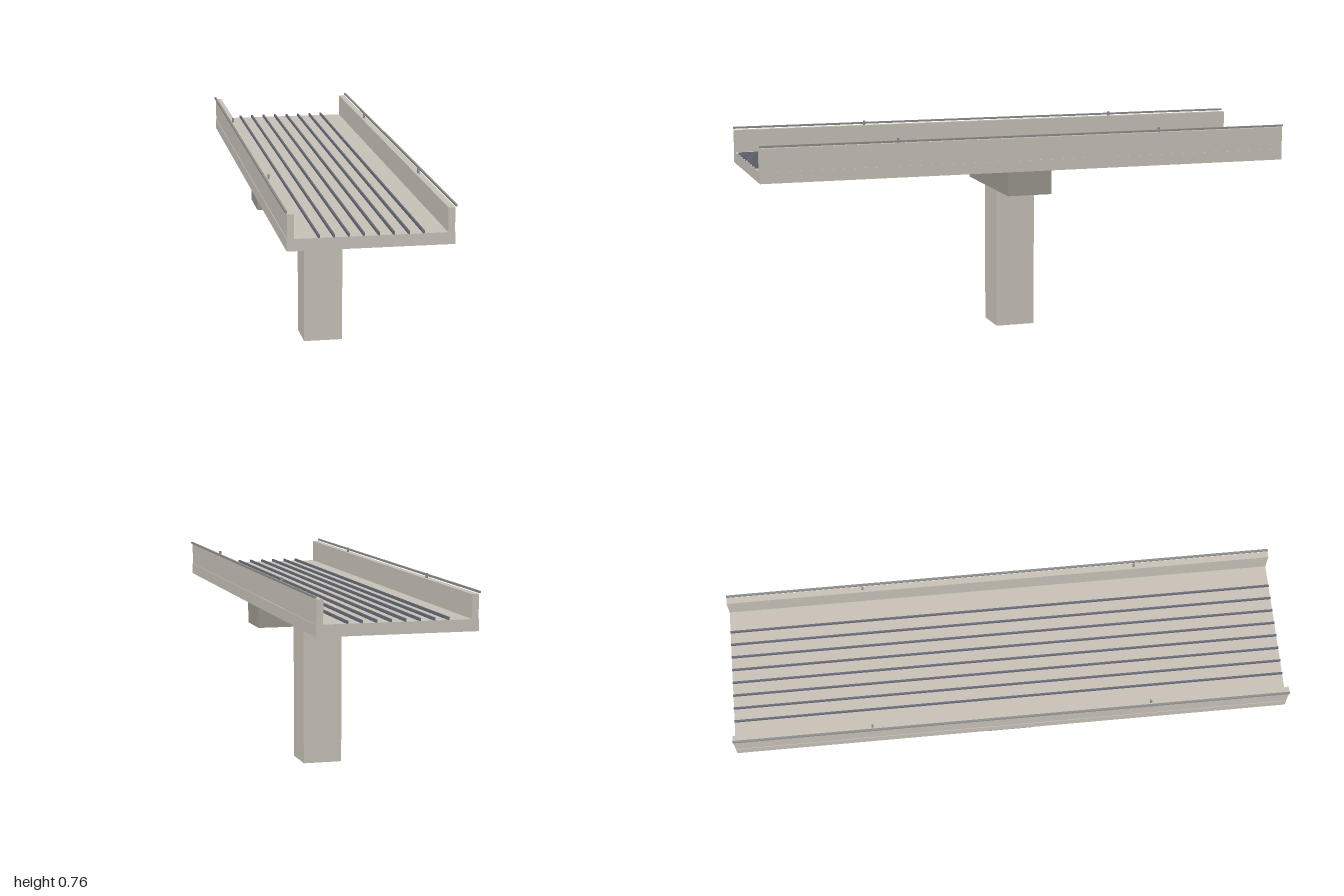
import * as THREE from 'three';

const material = (name, color) => {
  const m = new THREE.MeshStandardMaterial({ color });
  m.name = name;
  return m;
};

export function createModel() {
  const model = new THREE.Group();
  model.name = 'viaductSpan';

  const concrete = material('concrete', 0xc8c2b8);
  const darkConcrete = material('darkConcrete', 0x9c988e);
  const steel = material('railSteel', 0x6a6c7a);
  const metal = material('railingMetal', 0x8e8e8c);

  // Box given by its width, vertical extent and depth
  const box = (name, mat, x, width, y0, y1, depth, z = 0) => {
    const mesh = new THREE.Mesh(new THREE.BoxGeometry(width, y1 - y0, depth), mat);
    mesh.name = name;
    mesh.position.set(x, (y0 + y1) / 2, z);
    model.add(mesh);
  };

  // Pier, its crosshead and the deck
  box('pier', concrete, 0, 0.148, 0, 0.527, 0.148);
  box('pierCap', darkConcrete, 0, 0.5, 0.527, 0.62, 0.168);
  box('deck', concrete, 0, 0.56, 0.62, 0.661, 2);

  // Track rails, evenly spaced across the deck
  for (let i = 0; i < 8; i++) {
    box('trackRail', steel, -0.174 + i * 0.0497, 0.006, 0.661, 0.671, 2);
  }

  // Parapets with handrails and small posts on both sides
  for (const side of [-1, 1]) {
    box('parapet', concrete, side * 0.2665, 0.023, 0.661, 0.744, 2);
    box('handrail', metal, side * 0.281, 0.007, 0.747, 0.754, 2);
    for (const z of [-0.5, 0.5]) {
      box('railingPost', metal, side * 0.2665, 0.007, 0.744, 0.761, 0.007, z);
    }
  }

  return model;
}
